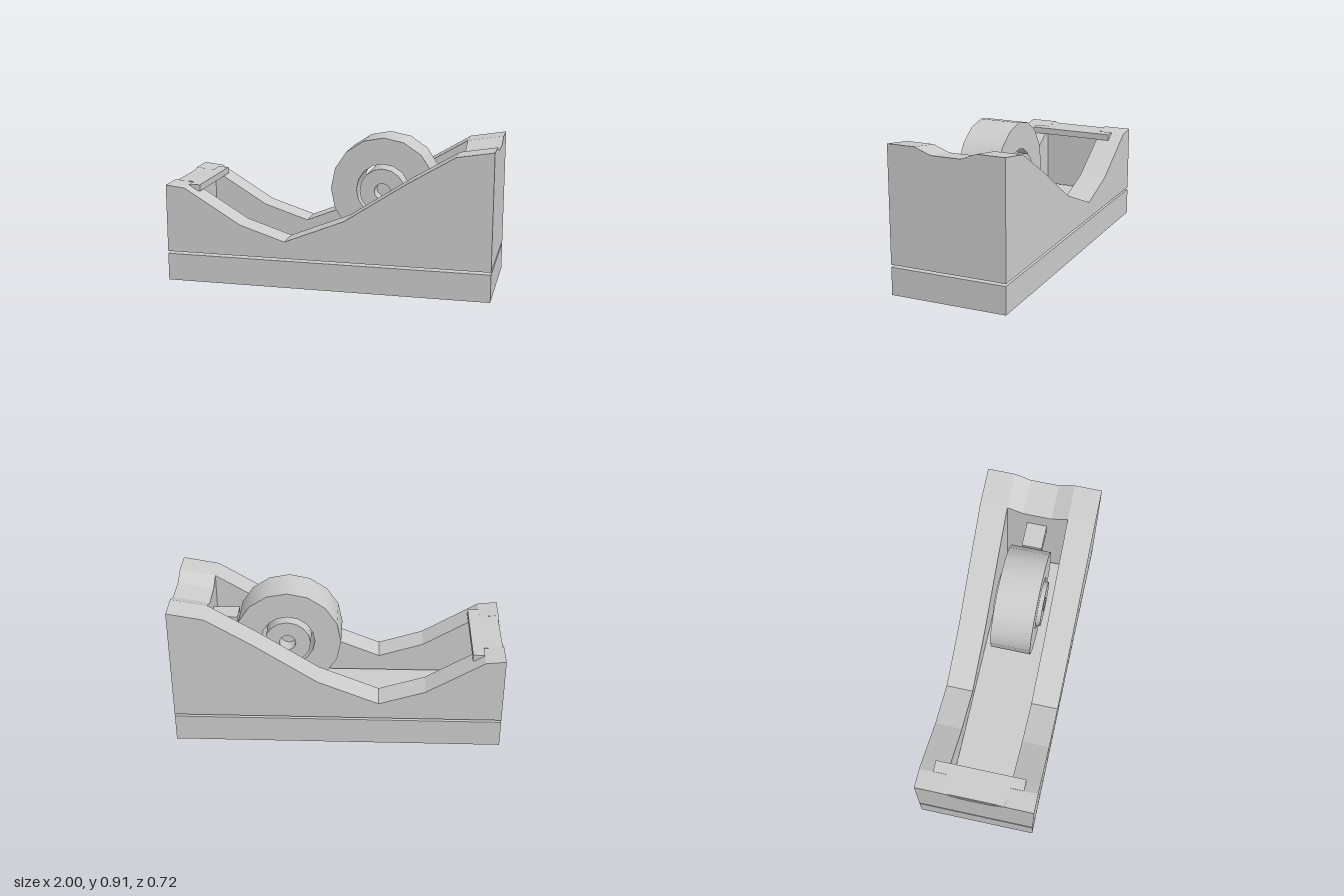
import * as THREE from 'three';
import { toCreasedNormals } from 'three/addons/utils/BufferGeometryUtils.js';

const HALF = 0.36;      // half depth of the body
const INNER = 0.19;     // half depth of the cavity
const BOTTOM = 0.185;   // underside of the body

export function createModel() {
  const group = new THREE.Group();
  const grey = new THREE.MeshStandardMaterial({ color: 0xcccccc });
  grey.name = 'grey';

  function add(name, geometry, x = 0, y = 0, z = 0) {
    const mesh = new THREE.Mesh(geometry, grey);
    mesh.name = name;
    mesh.position.set(x, y, z);
    group.add(mesh);
    return mesh;
  }
  const box = (name, x0, x1, y0, y1, halfZ) =>
    add(name, new THREE.BoxGeometry(x1 - x0, y1 - y0, halfZ * 2), (x0 + x1) / 2, (y0 + y1) / 2, 0);
  const shapeOf = (pts) => new THREE.Shape(pts.map(([x, y]) => new THREE.Vector2(x, y)));
  const extrude = (shape, depth) => new THREE.ExtrudeGeometry(shape, { depth, bevelEnabled: false });

  // Base slab, separated from the body by a narrow gap
  box('base', -1, 1, 0, 0.17, HALF);

  // Side walls with the swooping top edge
  const wall = shapeOf([
    [-1, BOTTOM], [1, BOTTOM], [1, 0.895], [0.78, 0.858], [0.5, 0.69],
    [0.12, 0.44], [-0.25, 0.29], [-0.53, 0.38], [-0.88, 0.592], [-1, 0.605],
  ]);
  add('leftWall', extrude(wall, HALF - INNER), 0, 0, INNER);
  add('rightWall', extrude(wall, HALF - INNER), 0, 0, -HALF);

  // End blocks with a shallow groove across the sloping top
  function endBlock(name, x0, x1, y0, y1) {
    const dip = y0 - 0.038;
    const geometry = extrude(shapeOf([
      [-INNER, BOTTOM], [INNER, BOTTOM], [INNER, y0], [0.09, dip], [-0.09, dip], [-INNER, y0],
    ]), x1 - x0);
    geometry.rotateY(Math.PI / 2);
    const p = geometry.attributes.position;
    for (let i = 0; i < p.count; i++) {
      if (p.getY(i) > BOTTOM + 0.01) p.setY(i, p.getY(i) + (y1 - y0) * p.getX(i) / (x1 - x0));
    }
    geometry.computeVertexNormals();
    add(name, geometry, x0, 0, 0);
  }
  endBlock('cutterEnd', -1, -0.87, 0.605, 0.587);
  endBlock('tallEnd', 0.78, 1, 0.858, 0.895);

  // Cutter plate: a T seen from above
  const plate = extrude(shapeOf([
    [-0.995, -INNER], [-0.88, -INNER], [-0.88, -0.275], [-0.81, -0.275],
    [-0.81, 0.275], [-0.88, 0.275], [-0.88, INNER], [-0.995, INNER],
  ]), 0.04);
  plate.rotateX(-Math.PI / 2);
  add('cutterPlate', plate, 0, 0.557, 0);

  // Tape roll: 16-sided ring
  const ringPoints = (r, n) => Array.from({ length: n }, (_, i) => {
    const a = (i / n) * Math.PI * 2;
    return [r * Math.cos(a), r * Math.sin(a)];
  });
  const ring = shapeOf(ringPoints(0.325, 16));
  ring.holes.push(shapeOf(ringPoints(0.165, 16)));
  add('tapeRoll', toCreasedNormals(extrude(ring, 0.25), 0.6), 0.31, 0.585, -0.125);

  // Hub with a recessed hole on each side
  const hub = new THREE.LatheGeometry([
    [0, -0.06], [0.05, -0.06], [0.05, -0.15], [0.14, -0.15],
    [0.14, 0.15], [0.05, 0.15], [0.05, 0.06], [0, 0.06],
  ].map(([r, y]) => new THREE.Vector2(r, y)), 16);
  hub.rotateX(Math.PI / 2);
  add('hub', toCreasedNormals(hub, 0.6), 0.31, 0.585, 0);

  // Small arm between the tall end and the roll
  box('arm', 0.62, 0.79, 0.61, 0.71, 0.063);

  return group;
}
